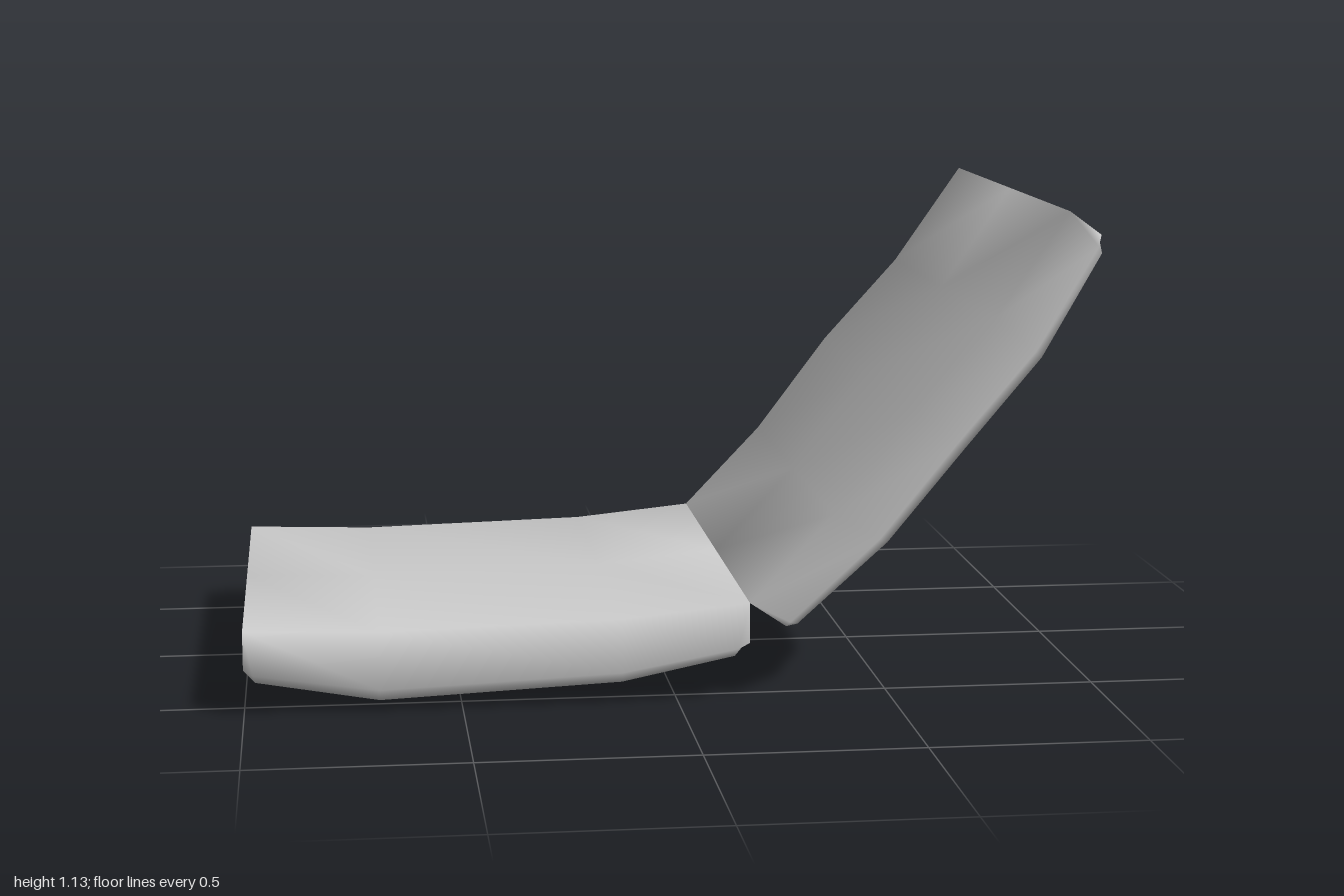
import * as THREE from 'three';
import { mergeVertices } from 'three/addons/utils/BufferGeometryUtils.js';

const HALF = 0.58; // half the cushion depth in z

// Closed ring across the cushion: [how far from rim to underside, z / HALF]
const RING = [[0, -1], [0.72, -1], [0.88, -0.95], [1, 0], [0.88, 0.95], [0.72, 1], [0, 1], [0, 0]];

// Smooth cushion swept through stations [rimX, rimY, underX, underY], first and last closing on the rim
function cushion(name, stations) {
  const n = RING.length, points = [], index = [];
  stations.forEach(([rx, ry, ux, uy], i) => {
    const cap = i === 1 || i === stations.length - 2; // end panels keep full corners
    for (const [t, z] of RING) {
      const k = cap && t > 0 ? 1 : t;
      points.push(new THREE.Vector3(rx + (ux - rx) * k, ry + (uy - ry) * k, z * HALF));
    }
  });
  for (let i = 0; i < stations.length - 1; i++) {
    for (let j = 0; j < n; j++) {
      const a = i * n + j, b = i * n + (j + 1) % n;
      index.push(a, a + n, b, a + n, b + n, b);
    }
  }
  let geo = new THREE.BufferGeometry().setFromPoints(points);
  geo.setIndex(index);
  geo = mergeVertices(geo);
  geo.computeVertexNormals();
  const mesh = new THREE.Mesh(geo, new THREE.MeshStandardMaterial({ color: 0xcccccc, side: THREE.DoubleSide }));
  mesh.name = name;
  return mesh;
}

export function createModel() {
  const model = new THREE.Group();
  model.name = 'cushionedSeat';

  // Seat cushion
  model.add(cushion('seat', [
    [-1, 0.2, -1, 0.2],
    [-1, 0.2, -1, 0.11],
    [-1, 0.2, -0.97, 0.055],
    [-0.69, 0.19, -0.69, 0],
    [-0.13, 0.205, -0.13, 0.028],
    [0.165, 0.235, 0.13, 0.085],
    [0.165, 0.235, 0.165, 0.14],
    [0.165, 0.235, 0.165, 0.235],
  ]));

  // Reclined back cushion
  model.add(cushion('backrest', [
    [0.165, 0.235, 0.165, 0.235],
    [0.165, 0.235, 0.25, 0.178],
    [0.165, 0.235, 0.297, 0.168],
    [0.36, 0.44, 0.51, 0.355],
    [0.54, 0.68, 0.69, 0.57],
    [0.73, 0.89, 0.865, 0.78],
    [0.9, 1.135, 0.997, 1.02],
    [0.9, 1.135, 0.975, 1.08],
    [0.9, 1.135, 0.9, 1.135],
  ]));

  return model;
}
